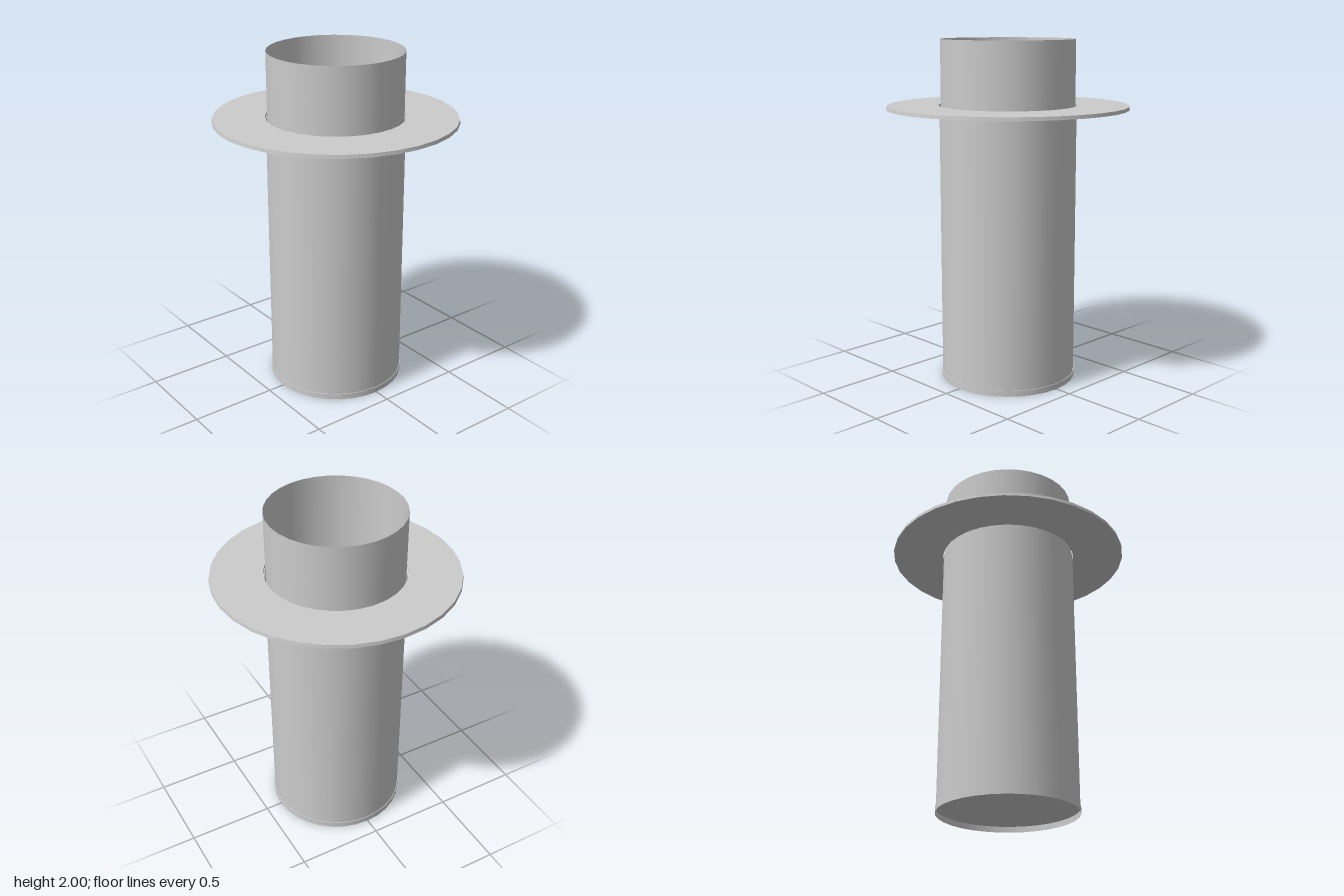
import * as THREE from 'three';
import { toCreasedNormals } from 'three/addons/utils/BufferGeometryUtils.js';

const SIDES = 32;
const material = new THREE.MeshStandardMaterial({ color: 0xcccccc, side: THREE.DoubleSide });

export function createModel() {
  const group = new THREE.Group();

  const add = (name, geometry, y = 0) => {
    const mesh = new THREE.Mesh(geometry, material);
    mesh.name = name;
    mesh.position.y = y;
    group.add(mesh);
    return mesh;
  };

  // Thin open tube between two heights
  const tube = (name, radius, y0, y1) =>
    add(name, new THREE.CylinderGeometry(radius, radius, y1 - y0, SIDES, 1, true), (y0 + y1) / 2);

  // Inner pipe, open at the top, inside a slightly wider sleeve
  tube('innerPipe', 0.388, 0.034, 2);
  tube('outerSleeve', 0.396, 0.034, 1.605);

  // Foot rim with the floor plate recessed above it
  tube('footRim', 0.4, 0, 0.034);
  const floor = new THREE.CircleGeometry(0.4, SIDES).rotateX(-Math.PI / 2);
  add('floorPlate', floor, 0.034);

  // Flat flange ring with a clearance hole around the pipe
  const profile = [
    [0.4, 1.605], [0.7, 1.605], [0.697, 1.625], [0.4, 1.625], [0.4, 1.605],
  ].map(([r, y]) => new THREE.Vector2(r, y));
  add('flange', toCreasedNormals(new THREE.LatheGeometry(profile, SIDES), 0.6));

  return group;
}
